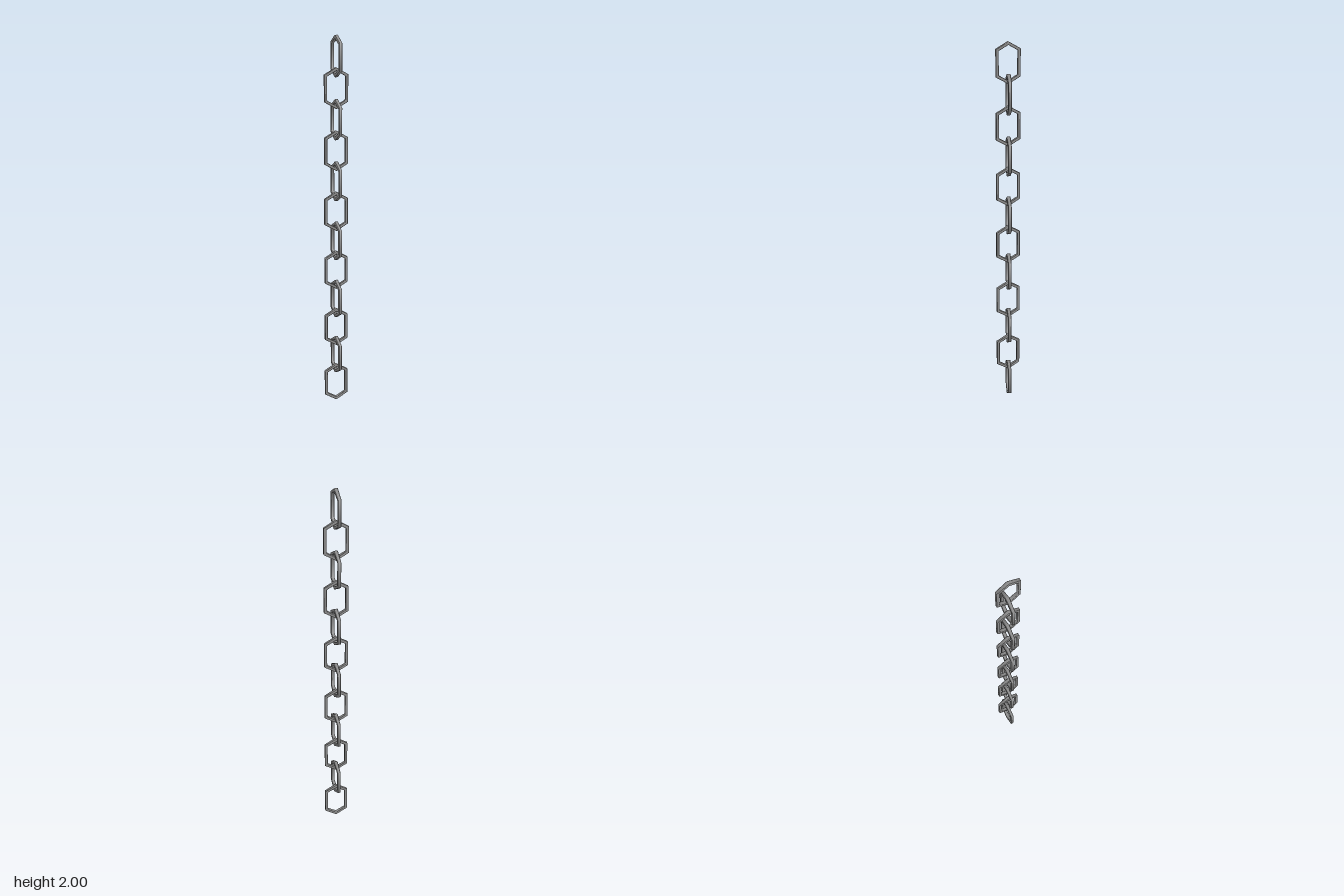
import * as THREE from 'three';

const LINKS = 12;
const HEIGHT = 0.213; // outer height of one link
const OUTER = 0.0732; // outer radius of the hexagon before stretching
const PITCH = (2 - HEIGHT) / (LINKS - 1);

// Hexagonal ring with a bevelled bar section, stretched along y
function linkGeometry() {
  const bar = 0.0085, depth = 0.0105, bevel = 0.0028;
  const mid = OUTER - bar;
  const section = [
    [bar, -depth + bevel], [bar, depth - bevel],
    [bar - bevel, depth], [-bar + bevel, depth],
    [-bar, depth - bevel], [-bar, -depth + bevel],
    [-bar + bevel, -depth], [bar - bevel, -depth],
    [bar, -depth + bevel],
  ].map(([r, h]) => new THREE.Vector2(mid + r, h));
  const geo = new THREE.LatheGeometry(section, 6);
  geo.rotateX(Math.PI / 2);
  // Lengthen the straight sides and make them slimmer than the pointed ends
  const pos = geo.attributes.position;
  const stretch = HEIGHT / 2 - OUTER;
  for (let i = 0; i < pos.count; i++) {
    const isEnd = Math.abs(pos.getX(i)) < 0.001;
    pos.setY(i, pos.getY(i) + Math.sign(pos.getY(i)) * stretch);
    pos.setZ(i, pos.getZ(i) * (isEnd ? 1 : 0.84));
  }
  return geo;
}

export function createModel() {
  const chain = new THREE.Group();
  chain.name = 'chain';
  const geo = linkGeometry();
  const material = new THREE.MeshStandardMaterial({ color: 0x8c8c8c });

  // Links alternate: even ones face front with a slight twist, odd ones face sideways
  for (let i = 0; i < LINKS; i++) {
    const sideways = i % 2 === 1;
    const link = new THREE.Mesh(geo, material);
    link.name = sideways ? 'sidewaysLink' : 'frontLink';
    link.position.set(0, HEIGHT / 2 + i * PITCH, sideways ? -0.001 : -0.004);
    link.rotation.y = sideways ? Math.PI / 2 : -0.095;
    chain.add(link);
  }
  return chain;
}
